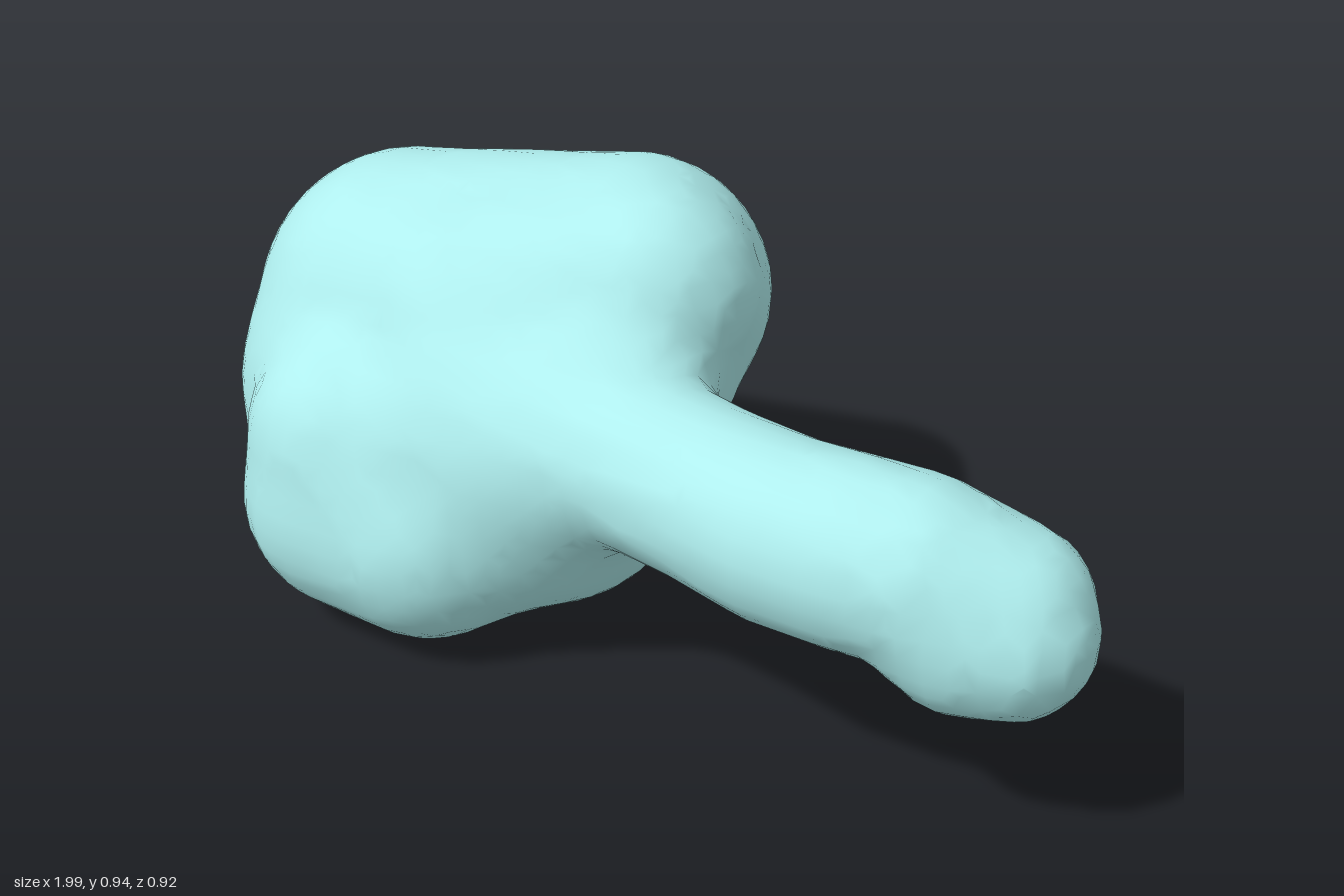
import * as THREE from 'three';

// Rounded masses as [x, y, z, radius]
const upper = [[-0.67, 0.54, -0.07, 0.32], [-0.2, 0.665, -0.19, 0.27],
  [-0.12, 0.715, -0.14, 0.215], [-0.44, 0.6, -0.01, 0.262]];
const belly = [[-0.66, 0.405, 0, 0.312], [-0.47, 0.29, 0.07, 0.282],
  [-0.46, 0.32, -0.08, 0.25], [-0.27, 0.38, 0.02, 0.3]];
const lobe = [[-0.57, 0.4, 0.21, 0.228], [-0.57, 0.265, 0.215, 0.242], [-0.41, 0.25, 0.2, 0.238]];
const arm = [[-0.3, 0.5, 0.1, 0.2], [0.05, 0.52, 0.13, 0.172], [0.25, 0.515, 0.15, 0.166],
  [0.42, 0.517, 0.172, 0.172], [0.56, 0.519, 0.16, 0.175], [0.67, 0.515, 0.137, 0.174]];
const tip = [arm[5], [0.77, 0.437, 0.11, 0.17], [0.82, 0.465, 0.08, 0.16], [0.84, 0.43, 0.09, 0.157]];

// Tapered capsules between neighbours, or between every two masses for a full, rounded hull
const chain = (list) => list.slice(1).map((b, i) => [list[i], b]);
const hull = (list) => list.flatMap((a, i) => list.slice(i + 1).map((b) => [a, b]));

// Each limb with the softness of its join to the ones before it
const limbs = [
  { links: hull([...upper, ...belly]), blend: 0.05 },
  { links: hull([...belly, ...lobe]), blend: 0.05 },
  { links: [...chain(arm), ...hull(tip)], blend: 0.13 },
];

function capsule(p, a, b) {
  const dx = b[0] - a[0], dy = b[1] - a[1], dz = b[2] - a[2];
  const px = p[0] - a[0], py = p[1] - a[1], pz = p[2] - a[2];
  const dot = (px * dx + py * dy + pz * dz) / (dx * dx + dy * dy + dz * dz);
  const t = Math.min(1, Math.max(0, dot));
  return Math.hypot(px - dx * t, py - dy * t, pz - dz * t) - a[3] - (b[3] - a[3]) * t;
}

function smoothMin(a, b, k) {
  const h = Math.max(k - Math.abs(a - b), 0) / k;
  return Math.min(a, b) - h * h * k * 0.25;
}

// Signed distance to all limbs melted together
function field(p) {
  let result = 10;
  for (const { links, blend } of limbs) {
    let d = 10;
    for (const [a, b] of links) d = Math.min(d, capsule(p, a, b));
    result = smoothMin(result, d, blend);
  }
  return result;
}

// Move a point along the field's slope onto the surface
function project(p) {
  const e = 0.002;
  for (let n = 0; n < 2; n++) {
    const f = field(p);
    const g = [0, 1, 2].map((i) => {
      const q = p.slice();
      q[i] += e;
      return (field(q) - f) / e;
    });
    const l = Math.max(g[0] ** 2 + g[1] ** 2 + g[2] ** 2, 0.2);
    p = p.map((v, i) => v - (f * g[i]) / l);
  }
  return p;
}

// Skin the field: one vertex per crossed cell, one quad per crossed grid edge
function skin() {
  const h = 0.045, origin = [-1.13, -0.12, -0.6], size = [51, 27, 27];
  const stride = [1, size[0], size[0] * size[1]];
  const values = [], cells = new Map(), positions = [], index = [];
  const at = (c) => c.map((v, i) => origin[i] + v * h);
  const each = (fn) => {
    for (let z = 0; z < size[2]; z++)
      for (let y = 0; y < size[1]; y++)
        for (let x = 0; x < size[0]; x++) fn([x, y, z], x + y * stride[1] + z * stride[2]);
  };
  each((c, id) => { values[id] = field(at(c)); });

  each((c, id) => {
    if (c.some((v, i) => v >= size[i] - 1)) return;
    const sum = [0, 0, 0];
    let count = 0;
    for (let k = 0; k < 8; k++) {
      const corner = [k & 1, (k >> 1) & 1, k >> 2];
      const a = id + corner[0] + corner[1] * stride[1] + corner[2] * stride[2];
      for (let axis = 0; axis < 3; axis++) {
        if (corner[axis]) continue;
        const b = a + stride[axis];
        if ((values[a] < 0) === (values[b] < 0)) continue;
        const t = values[a] / (values[a] - values[b]);
        for (let i = 0; i < 3; i++) sum[i] += corner[i] + (i === axis ? t : 0);
        count++;
      }
    }
    if (!count) return;
    cells.set(id, positions.length / 3);
    positions.push(...project(at(c.map((v, i) => v + sum[i] / count))));
  });

  each((c, id) => {
    for (let axis = 0; axis < 3; axis++) {
      if (c[axis] >= size[axis] - 1) continue;
      const inside = values[id] < 0;
      if (inside === (values[id + stride[axis]] < 0)) continue;
      const u = stride[(axis + 1) % 3], v = stride[(axis + 2) % 3];
      const q = [id - u - v, id - v, id, id - u].map((n) => cells.get(n));
      if (!inside) q.reverse();
      index.push(q[0], q[1], q[2], q[0], q[2], q[3]);
    }
  });

  const geometry = new THREE.BufferGeometry();
  geometry.setAttribute('position', new THREE.Float32BufferAttribute(positions, 3));
  geometry.setIndex(index);
  geometry.computeVertexNormals();
  return geometry;
}

export function createModel() {
  const geometry = skin();
  // Rest the belly on the ground
  geometry.computeBoundingBox();
  geometry.translate(0, -geometry.boundingBox.min.y, 0);

  const body = new THREE.Mesh(geometry, new THREE.MeshStandardMaterial({ color: 0xafeeee }));
  body.name = 'lobedBodyWithArm';
  const group = new THREE.Group();
  group.name = 'blob';
  group.add(body);
  return group;
}
